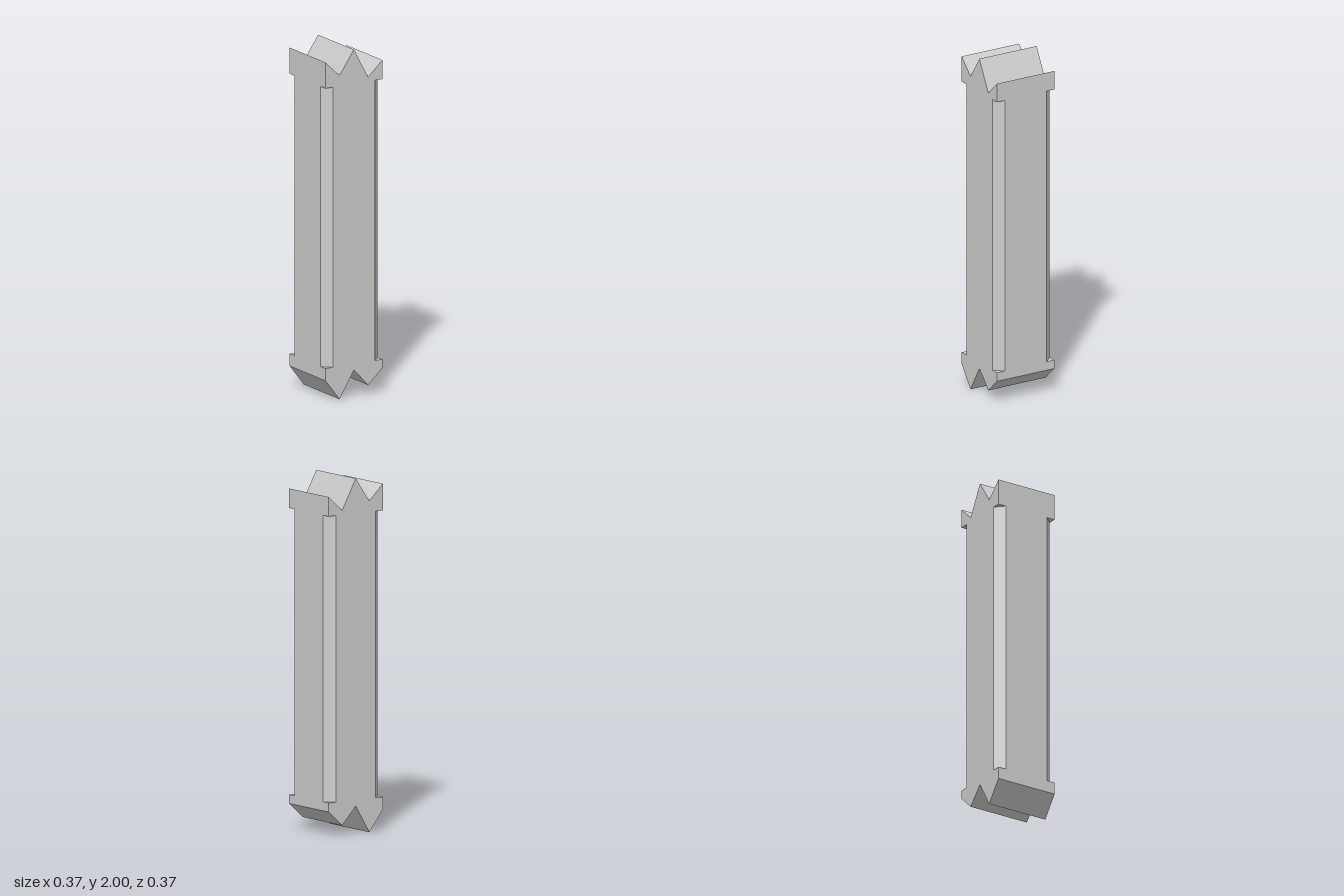
import * as THREE from 'three';

const HALF = 0.187;       // half width of the square post
const CUT = 0.137;        // where each chamfer begins
const LOW = 0.19, HIGH = 1.803; // extent of the chamfers

function extrude(points, depth) {
  const shape = new THREE.Shape(points.map(([x, y]) => new THREE.Vector2(x, y)));
  return new THREE.ExtrudeGeometry(shape, { depth, bevelEnabled: false });
}

export function createModel() {
  const group = new THREE.Group();
  group.name = 'splinteredPost';
  const grey = new THREE.MeshStandardMaterial({ color: 0xcccccc, flatShading: true });
  grey.name = 'plain grey';

  const add = (name, geometry) => {
    const mesh = new THREE.Mesh(geometry, grey);
    mesh.name = name;
    group.add(mesh);
  };

  // Shaft with four chamfered corners
  const octagon = [
    [HALF, -CUT], [HALF, CUT], [CUT, HALF], [-CUT, HALF],
    [-HALF, CUT], [-HALF, -CUT], [-CUT, -HALF], [CUT, -HALF],
  ];
  const shaft = extrude(octagon, HIGH - LOW);
  shaft.rotateX(-Math.PI / 2).translate(0, LOW, 0);
  add('chamferedShaft', shaft);

  // Square ends with jagged zigzag cuts
  const addEnd = (name, base, heights) => {
    const jagged = heights.map((y, i) => [HALF * (i / 2 - 1), y]);
    const end = extrude([[HALF, base], [-HALF, base], ...jagged], 2 * HALF);
    end.translate(0, 0, -HALF);
    add(name, end);
  };
  addEnd('jaggedTop', HIGH, [1.953, 1.865, 2, 1.828, 1.913]);
  addEnd('jaggedBottom', LOW, [0.12, 0, 0.155, 0.055, 0.14]);

  return group;
}
